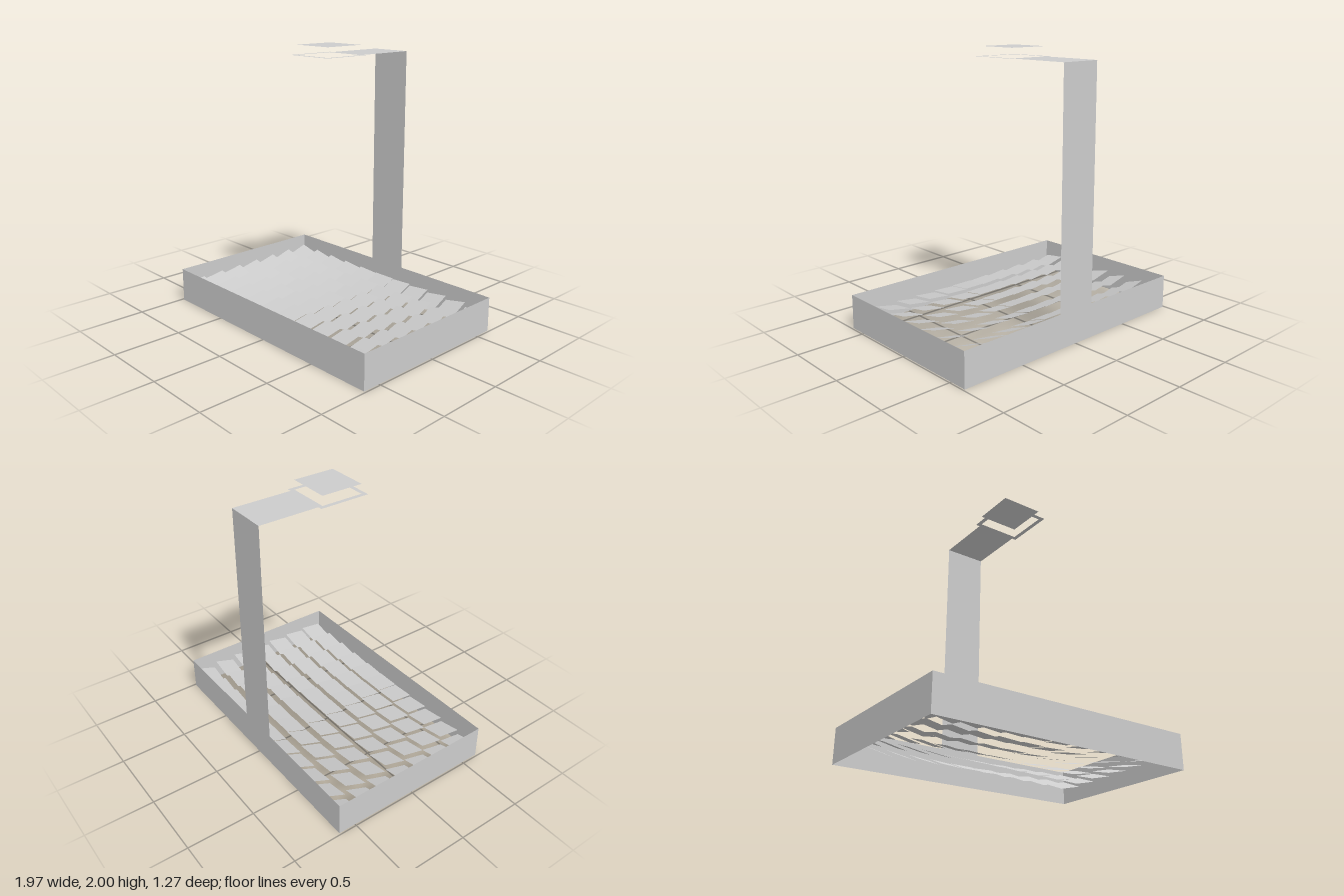
import * as THREE from 'three';

const mat = new THREE.MeshStandardMaterial({ color: 0xcccccc, side: THREE.DoubleSide, flatShading: true });

export function createModel() {
  const model = new THREE.Group();

  const add = (name, geo, x, y, z, parent = model) => {
    const m = new THREE.Mesh(geo, mat);
    m.name = name;
    m.position.set(x, y, z);
    parent.add(m);
    return m;
  };
  // Thin sheets: upright facing z, upright facing x, and lying flat
  const sheetZ = (w, h) => new THREE.PlaneGeometry(w, h);
  const sheetX = (d, h) => new THREE.PlaneGeometry(d, h).rotateY(Math.PI / 2);
  const flat = (w, d) => new THREE.PlaneGeometry(w, d).rotateX(-Math.PI / 2);

  const hx = 0.987, hz = 0.633, wallH = 0.253, armY = 1.93, topY = 2, armW = 0.312;

  // Open rectangular surround, no floor
  for (const s of [-1, 1]) {
    add(s > 0 ? 'frontWall' : 'backWall', sheetZ(2 * hx, wallH), 0, wallH / 2, s * hz);
    add(s > 0 ? 'leftWall' : 'rightWall', sheetX(2 * hz, wallH), s * hx, wallH / 2, 0);
  }

  // Post rising from the back wall and the arm reaching forward
  const frameHalf = 0.188, holeHalf = 0.157;
  add('post', sheetZ(armW, armY - wallH), 0, (armY + wallH) / 2, -hz);
  add('arm', flat(armW, hz - frameHalf), 0, armY, -(hz + frameHalf) / 2);

  // Square frame at the arm's end, with the receiver plate above it
  const square = (r, Type) => new Type([[-r, -r], [r, -r], [r, r], [-r, r]].map(p => new THREE.Vector2(...p)));
  const frame = square(frameHalf, THREE.Shape);
  frame.holes.push(square(holeHalf, THREE.Path));
  add('receiverFrame', new THREE.ShapeGeometry(frame).rotateX(-Math.PI / 2), 0, armY, 0);
  add('receiverPlate', flat(2 * holeHalf, 2 * holeHalf), 0, topY, 0);

  // Mirror tiles, each tilted to send slanting light to the receiver
  const mirrors = new THREE.Group();
  mirrors.name = 'mirrorField';
  model.add(mirrors);
  const tile = flat(0.179, 0.177);
  const sunAngle = THREE.MathUtils.degToRad(30);
  const sun = new THREE.Vector3(0, Math.cos(sunAngle), Math.sin(sunAngle));
  const target = new THREE.Vector3(0, topY, 0);
  for (let i = -5; i <= 5; i++) {
    for (let j = -3; j <= 3; j++) {
      const m = add('mirrorTile', tile, i * 0.1785, 0.115, j * 0.1765, mirrors);
      const n = target.clone().sub(m.position).normalize().add(sun).normalize();
      m.rotation.set(Math.asin(n.z), 0, Math.atan2(-n.x, n.y), 'ZXY');
    }
  }
  return model;
}
